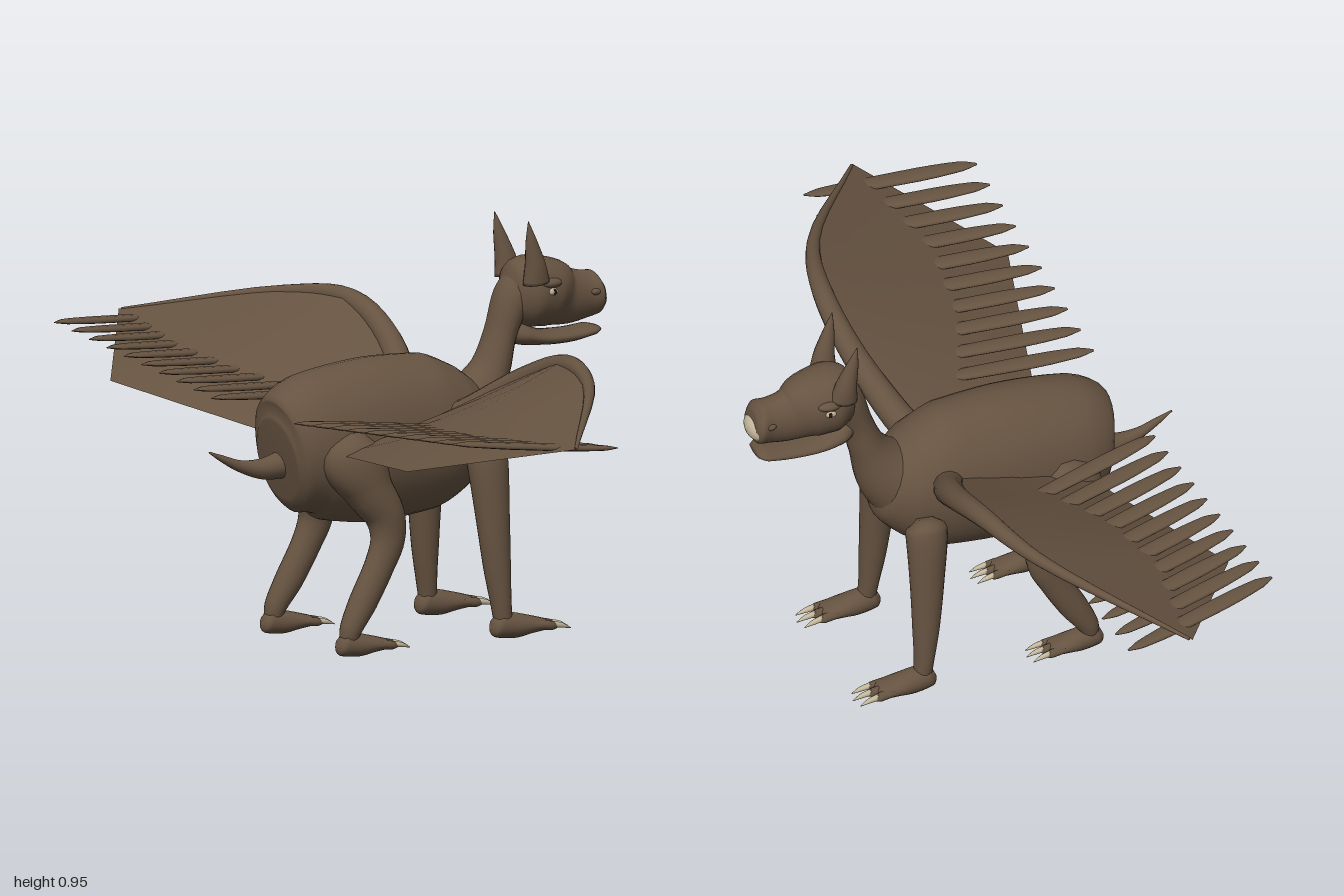
import * as THREE from 'three';

const V = (x, y, z) => new THREE.Vector3(x, y, z);
const mat = (name, color) => Object.assign(new THREE.MeshStandardMaterial({ color }), { name });
const hide = mat('brown hide', 0x665341);
hide.side = THREE.DoubleSide;
const horn = mat('pale horn', 0xc4b89c);
const dark = mat('dark pupil', 0x1c1612);

// Smooth closed skin over rings [x, y, z, radius in the bend, radius along side]
function loft(rings, side = V(0, 0, 1), n = 20, sub = 5) {
  const path = new THREE.CatmullRomCurve3(rings.map(r => V(r[0], r[1], r[2])));
  const radii = new THREE.CatmullRomCurve3(rings.map(r => V(r[3], r[4] ?? r[3], 0)));
  const m = (rings.length - 1) * sub, pos = [], idx = [];
  for (let i = 0; i <= m; i++) {
    const p = path.getPoint(i / m), t = path.getTangent(i / m), r = radii.getPoint(i / m);
    const S = side.clone().addScaledVector(t, -side.dot(t)).normalize();
    const U = t.clone().cross(S);
    for (let j = 0; j < n; j++) {
      const a = j / n * Math.PI * 2;
      const q = p.clone().addScaledVector(S, Math.cos(a) * r.y).addScaledVector(U, Math.sin(a) * r.x);
      pos.push(q.x, q.y, q.z);
      if (i < m) {
        const k = i * n + j, l = i * n + (j + 1) % n;
        idx.push(k, l, k + n, l, l + n, k + n);
      }
    }
  }
  // end caps
  for (const [i, flip] of [[0, true], [m, false]]) {
    const p = path.getPoint(i / m), c = pos.length / 3;
    pos.push(p.x, p.y, p.z);
    for (let j = 0; j < n; j++) {
      const k = i * n + j, l = i * n + (j + 1) % n;
      idx.push(c, flip ? l : k, flip ? k : l);
    }
  }
  const g = new THREE.BufferGeometry();
  g.setAttribute('position', new THREE.Float32BufferAttribute(pos, 3));
  g.setIndex(idx);
  g.computeVertexNormals();
  return g;
}

function add(parent, name, geometry, material = hide) {
  const mesh = new THREE.Mesh(geometry, material);
  mesh.name = name;
  parent.add(mesh);
  return mesh;
}

function ball(parent, name, material, p, r) {
  const mesh = add(parent, name, new THREE.SphereGeometry(1, 20, 14), material);
  mesh.position.set(...p);
  mesh.scale.set(...r);
  return mesh;
}

// Paw with three toes and claws, pointing to +x from the heel
function addFoot(parent, name, x, z, size) {
  const foot = new THREE.Group();
  foot.name = name;
  foot.position.set(x, 0, z);
  foot.scale.setScalar(size);
  add(foot, 'paw', loft([[0, 0.045, 0, 0.012], [0.012, 0.04, 0, 0.03, 0.026], [0.055, 0.034, 0, 0.03, 0.031],
    [0.1, 0.032, 0, 0.021, 0.034], [0.135, 0.03, 0, 0.013, 0.034], [0.143, 0.03, 0, 0.006, 0.022]]));
  for (const k of [-1, 0, 1]) {
    const dz = k * 0.024, end = 0.168 - Math.abs(k) * 0.008;
    add(foot, 'toe', loft([[0.11, 0.032, dz * 0.9, 0.012], [end - 0.015, 0.028, dz, 0.011], [end, 0.026, dz, 0.005]], V(0, 0, 1), 10, 3));
    add(foot, 'claw', loft([[end - 0.012, 0.03, dz, 0.008], [end + 0.012, 0.026, dz * 1.05, 0.006], [end + 0.035, 0.018, dz * 1.1, 0.001]], V(0, 0, 1), 8, 3), horn);
  }
  parent.add(foot);
}

function addLegs(parent, s) {
  add(parent, 'frontLeg', loft([[0.138, 0.455, 0.12 * s, 0.02], [0.138, 0.43, 0.132 * s, 0.05, 0.045],
    [0.143, 0.3, 0.148 * s, 0.041, 0.039], [0.15, 0.17, 0.158 * s, 0.032], [0.157, 0.09, 0.163 * s, 0.024, 0.027],
    [0.162, 0.045, 0.165 * s, 0.022]]));
  addFoot(parent, 'frontFoot', 0.134, 0.165 * s, 1);
  add(parent, 'hindLeg', loft([[-0.215, 0.515, 0.11 * s, 0.03, 0.03], [-0.218, 0.46, 0.128 * s, 0.084, 0.06],
    [-0.19, 0.39, 0.14 * s, 0.06, 0.055], [-0.152, 0.325, 0.152 * s, 0.048, 0.045], [-0.148, 0.27, 0.158 * s, 0.042, 0.036],
    [-0.172, 0.21, 0.16 * s, 0.036, 0.033], [-0.217, 0.13, 0.162 * s, 0.034, 0.032],
    [-0.252, 0.07, 0.165 * s, 0.026, 0.027], [-0.258, 0.045, 0.165 * s, 0.022]]));
  addFoot(parent, 'hindFoot', -0.286, 0.165 * s, 0.92);
}

function addWing(parent, s) {
  const wing = new THREE.Group();
  wing.name = s > 0 ? 'nearWing' : 'farWing';
  // arm along the leading edge
  add(wing, 'wingArm', loft([[0.06, 0.52, 0.09 * s, 0.03], [0.08, 0.535, 0.13 * s, 0.037], [0.135, 0.635, 0.29 * s, 0.03],
    [0.142, 0.702, 0.47 * s, 0.024], [0.08, 0.693, 0.67 * s, 0.015], [-0.155, 0.622, 0.995 * s, 0.004]], V(1, 0, 0), 14));
  // skin between the arm and the trailing edge
  const lead = [[0.05, 0.535, 0.1], [0.135, 0.645, 0.29], [0.142, 0.715, 0.47], [0.08, 0.7, 0.67], [-0.16, 0.622, 1]];
  const trail = [[-0.25, 0.47, 0.1], [-0.3, 0.492, 0.29], [-0.35, 0.513, 0.47], [-0.4, 0.535, 0.65], [-0.16, 0.62, 1]];
  const pos = [], idx = [], steps = 4, w = steps + 1;
  lead.forEach((a, i) => {
    for (let j = 0; j <= steps; j++) {
      const p = V(...a).lerp(V(...trail[i]), j / steps);
      pos.push(p.x, p.y, p.z * s);
      if (i < lead.length - 1 && j < steps) {
        const k = i * w + j;
        if (s > 0) idx.push(k, k + 1, k + w, k + 1, k + w + 1, k + w);
        else idx.push(k, k + w, k + 1, k + 1, k + w, k + w + 1);
      }
    }
  });
  // keep the upper side as the face side
  for (let i = 0; i < idx.length; i += 3) [idx[i + 1], idx[i + 2]] = [idx[i + 2], idx[i + 1]];
  const skin = new THREE.BufferGeometry();
  skin.setAttribute('position', new THREE.Float32BufferAttribute(pos, 3));
  skin.setIndex(idx);
  skin.computeVertexNormals();
  add(wing, 'wingSkin', skin);
  // row of leaf-shaped feathers
  for (let i = 0; i < 10; i++) {
    const z = 0.225 + i * 0.0765, y = 0.554 + i * 0.0072;
    add(wing, 'feather', loft([[-0.415, y + 0.018, (z - 0.045) * s, 0.001, 0.004], [-0.38, y + 0.016, (z - 0.037) * s, 0.006, 0.018],
      [-0.28, y + 0.006, (z - 0.015) * s, 0.008, 0.025], [-0.13, y - 0.008, (z + 0.018) * s, 0.008, 0.022],
      [-0.05, y - 0.014, (z + 0.036) * s, 0.006, 0.014], [-0.018, y - 0.016, (z + 0.043) * s, 0.001, 0.003]], V(0, 0, 1), 10, 3));
  }
  parent.add(wing);
}

function addHead(parent) {
  const head = new THREE.Group();
  head.name = 'head';
  add(head, 'skull', loft([[0.268, 0.78, 0, 0.025, 0.02], [0.285, 0.78, 0, 0.07, 0.055], [0.33, 0.78, 0, 0.084, 0.08],
    [0.385, 0.771, 0, 0.08, 0.073], [0.43, 0.758, 0, 0.067, 0.05], [0.48, 0.757, 0, 0.057, 0.046],
    [0.508, 0.76, 0, 0.052, 0.052], [0.523, 0.762, 0, 0.03, 0.035]], V(0, 0, 1), 28));
  add(head, 'lowerJaw', loft([[0.27, 0.7, 0, 0.025, 0.025], [0.305, 0.682, 0, 0.026, 0.05], [0.36, 0.669, 0, 0.018, 0.052],
    [0.44, 0.667, 0, 0.016, 0.046], [0.495, 0.674, 0, 0.013, 0.044], [0.513, 0.676, 0, 0.007, 0.03]]));
  ball(head, 'noseTip', horn, [0.508, 0.747, 0], [0.027, 0.031, 0.045]);
  for (const s of [-1, 1]) {
    add(head, 'ear', loft([[0.316, 0.81, 0.062 * s, 0.034, 0.026], [0.311, 0.85, 0.066 * s, 0.026, 0.024],
      [0.297, 0.91, 0.071 * s, 0.014, 0.013], [0.287, 0.958, 0.074 * s, 0.001]], V(0, 0, 1), 14));
    ball(head, 'brow', hide, [0.352, 0.806, 0.066 * s], [0.03, 0.012, 0.018]);
    ball(head, 'eye', horn, [0.352, 0.787, 0.07 * s], [0.016, 0.011, 0.012]);
    ball(head, 'pupil', dark, [0.356, 0.787, 0.079 * s], [0.005, 0.007, 0.004]);
    ball(head, 'nostril', hide, [0.49, 0.768, 0.044 * s], [0.013, 0.008, 0.008]);
  }
  parent.add(head);
}

export function createModel() {
  const model = new THREE.Group();
  model.name = 'wingedBeast';
  add(model, 'body', loft([[-0.35, 0.452, 0, 0.095, 0.085], [-0.335, 0.455, 0, 0.135, 0.11], [-0.27, 0.473, 0, 0.172, 0.135],
    [-0.1, 0.475, 0, 0.193, 0.142], [0.05, 0.48, 0, 0.184, 0.135], [0.14, 0.49, 0, 0.14, 0.115],
    [0.19, 0.5, 0, 0.095, 0.08], [0.205, 0.505, 0, 0.05, 0.045]], V(0, 0, 1), 32));
  add(model, 'neck', loft([[0.12, 0.48, 0, 0.12, 0.1], [0.185, 0.535, 0, 0.08, 0.075], [0.23, 0.61, 0, 0.045, 0.052],
    [0.257, 0.69, 0, 0.036, 0.046], [0.288, 0.77, 0, 0.042, 0.052], [0.315, 0.815, 0, 0.035, 0.045]]));
  add(model, 'tail', loft([[-0.33, 0.44, 0, 0.034], [-0.39, 0.434, 0, 0.025], [-0.45, 0.446, 0, 0.014],
    [-0.5, 0.469, 0, 0.008], [-0.535, 0.487, 0, 0.002]], V(0, 0, 1), 14));
  addHead(model);
  for (const s of [-1, 1]) {
    addLegs(model, s);
    addWing(model, s);
  }
  return model;
}
